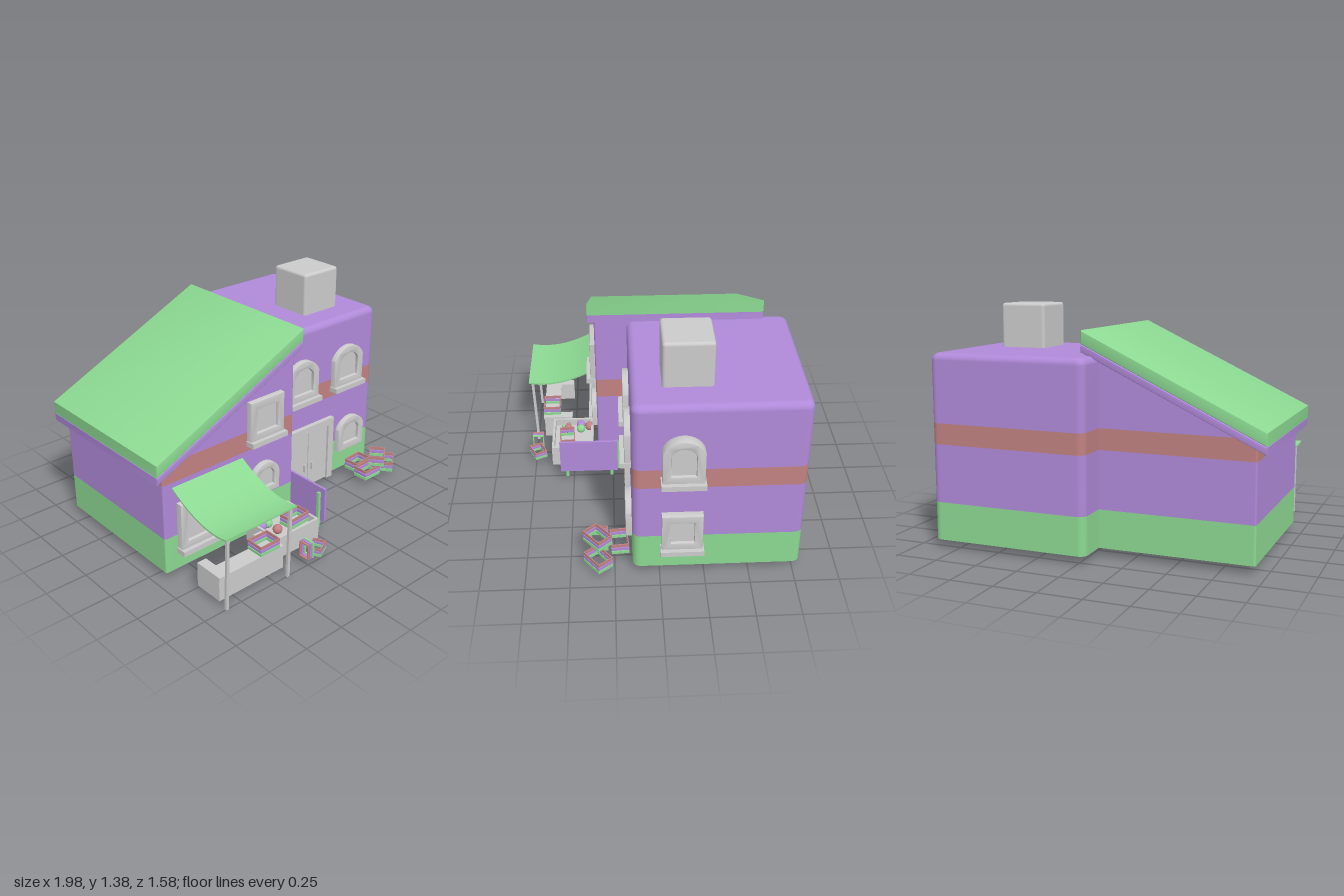
import * as THREE from 'three';
import { toCreasedNormals } from 'three/addons/utils/BufferGeometryUtils.js';
import { RoundedBoxGeometry } from 'three/addons/geometries/RoundedBoxGeometry.js';

const mat = (color) => new THREE.MeshStandardMaterial({ color, side: THREE.DoubleSide });
const GREY = mat(0xcccccc), GREEN = mat(0x8cd992), PURPLE = mat(0xb08ad9), RED = mat(0xc28282);

function add(parent, name, geo, material, x = 0, y = 0, z = 0) {
  const m = new THREE.Mesh(geo, material);
  m.name = name;
  m.position.set(x, y, z);
  parent.add(m);
  return m;
}

// Box given by its minimum and maximum corners
function box(parent, name, material, x0, x1, y0, y1, z0, z1) {
  return add(parent, name, new THREE.BoxGeometry(x1 - x0, y1 - y0, z1 - z0), material,
    (x0 + x1) / 2, (y0 + y1) / 2, (z0 + z1) / 2);
}

// Rounded rectangle in plan, optionally with an extra point where a wall crosses x = cut
function plan(x0, x1, z0, z1, r, cut) {
  const corners = [[x1 - r, z1 - r], [x0 + r, z1 - r], [x0 + r, z0 + r], [x1 - r, z0 + r]];
  const pts = [];
  corners.forEach(([cx, cz], q) => {
    for (let i = 0; i <= 5; i++) {
      const a = (q + i / 5) * Math.PI / 2;
      pts.push([cx + r * Math.cos(a), cz + r * Math.sin(a)]);
    }
  });
  if (cut === undefined) return pts;
  return pts.flatMap((p, i) => {
    const n = pts[(i + 1) % pts.length];
    return (p[0] - cut) * (n[0] - cut) < 0 ? [p, [cut, (p[1] + n[1]) / 2]] : [p];
  });
}

// Skin between rings of points [x, y, z], with an optional flat cap on the last ring
function loft(rings, cap) {
  const n = rings[0].length, idx = [], pos = rings.flat(2);
  for (let r = 0; r + 1 < rings.length; r++) {
    for (let i = 0; i < n; i++) {
      const j = (i + 1) % n, a = r * n + i, b = r * n + j;
      idx.push(a, a + n, b, b, a + n, b + n);
    }
  }
  if (cap) {
    const last = rings.length - 1, ring = rings[last];
    const mid = [0, 1, 2].map((k) => ring.reduce((s, p) => s + p[k], 0) / n);
    pos.push(...mid);
    for (let i = 0; i < n; i++) idx.push(rings.length * n, last * n + (i + 1) % n, last * n + i);
  }
  const g = new THREE.BufferGeometry();
  g.setAttribute('position', new THREE.Float32BufferAttribute(pos, 3));
  g.setIndex(idx);
  g.computeVertexNormals();
  return g;
}

// Outline of a window, square or with an arched head
function outline(Type, w, h, y0, arch) {
  const s = new Type(), a = w / 2, spring = y0 + h - arch;
  s.moveTo(-a, y0);
  s.lineTo(a, y0);
  s.lineTo(a, spring);
  if (arch) {
    const R = (a * a + arch * arch) / (2 * arch), t = Math.asin(Math.min(1, a / R));
    s.absarc(0, y0 + h - R, R, Math.PI / 2 - t, Math.PI / 2 + t, false);
  } else s.lineTo(-a, spring);
  s.closePath();
  return s;
}

// Window standing on y = 0 of its group and facing +z from the wall at z = 0
function windowUnit(parent, name, { w, h, arch = 0, out = 0.035, sill = true, border = 0.042 }) {
  const g = new THREE.Group(), back = 0.04;
  g.name = name;
  const frame = outline(THREE.Shape, w - 0.01, h - 0.01, 0.005, arch);
  frame.holes.push(outline(THREE.Path, w - 2 * border, h - 2 * border, border, arch * 0.7));
  const fg = new THREE.ExtrudeGeometry(frame, { depth: out + back - 0.01, curveSegments: 14,
    bevelThickness: 0.005, bevelSize: 0.005, bevelSegments: 2 });
  add(g, 'windowFrame', toCreasedNormals(fg, 0.6), GREY, 0, 0, 0.005 - back);
  const pane = new THREE.ExtrudeGeometry(outline(THREE.Shape, w - 0.03, h - 0.03, 0.015, arch * 0.9),
    { depth: back + out - 0.025, bevelEnabled: false });
  add(g, 'windowPane', pane, GREY, 0, 0, -back + 0.005);
  if (sill) box(g, 'windowSill', GREY, -w / 2 - 0.007, w / 2 + 0.007, -0.025, 0.006, -back, out + 0.025);
  parent.add(g);
  return g;
}

// Open slatted crate: a loop of four slats in each coloured row
function crate(parent, x, y, z, turn, w = 0.14, d = 0.1, h = 0.072) {
  const g = new THREE.Group(), t = 0.006, step = h / 3, s = step * 0.78;
  g.name = 'slattedCrate';
  [GREEN, PURPLE, RED].forEach((m, i) => {
    const y0 = i * step;
    for (const k of [-1, 1]) {
      add(g, 'longSlat', new THREE.BoxGeometry(w, s, t), m, 0, y0 + s / 2, k * (d - t) / 2);
      add(g, 'shortSlat', new THREE.BoxGeometry(t, s, d), m, k * (w - t) / 2, y0 + s / 2, 0);
    }
  });
  g.position.set(x, y, z);
  g.rotation.y = turn;
  parent.add(g);
  return g;
}

export function createModel() {
  const house = new THREE.Group();
  house.name = 'shopHouse';
  const bands = [['wallBase', GREEN, 0.05, 0.27], ['lowerWall', PURPLE, 0.27, 0.605],
    ['wallStripe', RED, 0.605, 0.725], ['upperWall', PURPLE, 0.725, 1.12]];

  // Main block, with a rounded top edge
  const mainRing = (y, inset) => plan(-0.05 + inset, 0.895 - inset, -0.79 + inset, 0.15 - inset, 0.045 - inset * 0.6)
    .map(([x, z]) => [x, y, z]);
  bands.forEach(([name, m, y0, y1], i) => {
    const rings = [mainRing(y0, 0)];
    if (i < 3) rings.push(mainRing(y1, 0));
    else for (let k = 0; k <= 5; k++) {
      const a = k / 5 * Math.PI / 2, r = 0.04;
      rings.push(mainRing(y1 - r + r * Math.sin(a), r * (1 - Math.cos(a))));
    }
    add(house, 'main ' + name, loft(rings, i === 3), m);
  });

  // Side wing, its walls cut by the slope of the roof
  const slope = 0.49 / 1.03, roofY = (x) => 0.66 + (x + 1) * slope;
  const wingPlan = plan(-0.94, 0.003, -0.6, 0.34, 0.012, -1 + 0.065 / slope);
  bands.forEach(([name, m, y0, y1]) => {
    const ring = (y) => wingPlan.map(([x, z]) => [x, Math.min(y, roofY(x)), z]);
    add(house, 'wing ' + name, loft([ring(y0), ring(y1 > 1 ? 2 : y1)]), m);
  });

  // Sloping roof in two layers
  for (const [name, m, lo, hi] of [['roofTop', GREEN, 0.695, 0.77], ['roofUnderside', PURPLE, 0.65, 0.695]]) {
    const b = 0.007, x0 = -1 + b, x1 = 0.035 - b, rise = (x1 - x0) * slope;
    const s = new THREE.Shape([[x0, lo + b], [x1, lo + b + rise], [x1, hi - b + rise], [x0, hi - b]]
      .map((p) => new THREE.Vector2(...p)));
    const geo = new THREE.ExtrudeGeometry(s, { depth: 1.02 - 2 * b, bevelThickness: b, bevelSize: b, bevelSegments: 3 });
    add(house, name, toCreasedNormals(geo, 0.6), m, 0, 0, -0.64 + b);
  }

  // Chimney
  add(house, 'chimney', new RoundedBoxGeometry(0.28, 0.32, 0.275, 3, 0.018), GREY, 0.57, 1.22, -0.155);

  // Windows on the main front, wing front and right-hand side
  const arched = { w: 0.25, h: 0.26, arch: 0.075 };
  for (const x of [0.245, 0.635]) windowUnit(house, 'upperArchedWindow', arched).position.set(x, 0.67, 0.15);
  windowUnit(house, 'lowerArchedWindow', { w: 0.228, h: 0.23, arch: 0.07, sill: false }).position.set(0.685, 0.193, 0.15);
  windowUnit(house, 'wingSquareWindow', { w: 0.25, h: 0.245 }).position.set(-0.225, 0.665, 0.34);
  windowUnit(house, 'wingArchedWindow', { w: 0.2, h: 0.2, arch: 0.07, sill: false, border: 0.035 }).position.set(-0.23, 0.3, 0.34);
  windowUnit(house, 'shopWindow', { w: 0.46, h: 0.29, out: 0.04 }).position.set(-0.625, 0.18, 0.34);
  [['sideArchedWindow', { ...arched, w: 0.225, h: 0.27, out: 0.062 }, 0.675],
    ['sideSquareWindow', { w: 0.225, h: 0.235, out: 0.045 }, 0.203]].forEach(([name, opt, y]) => {
    const g = windowUnit(house, name, opt);
    g.position.set(0.895, y, -0.122);
    g.rotation.y = Math.PI / 2;
  });

  // Double door
  const door = new THREE.Group();
  door.name = 'doubleDoor';
  house.add(door);
  box(door, 'doorLintel', GREY, 0.1, 0.52, 0.425, 0.47, 0.11, 0.18);
  for (const k of [-1, 1]) {
    const span = (a, b) => [0.31 + k * a, 0.31 + k * b].sort((p, q) => p - q);
    box(door, 'doorJamb', GREY, ...span(0.165, 0.21), 0.04, 0.43, 0.11, 0.18);
    box(door, 'doorLeaf', GREY, ...span(0.003, 0.165), 0.04, 0.425, 0.11, 0.165);
    box(door, 'doorHandle', GREY, ...span(0.025, 0.038), 0.155, 0.205, 0.16, 0.18);
  }

  // Sagging awning on two leaning posts
  const curve = new THREE.QuadraticBezierCurve(new THREE.Vector2(0.335, 0.578),
    new THREE.Vector2(0.58, 0.425), new THREE.Vector2(0.785, 0.47)).getPoints(20);
  const cloth = new THREE.Shape([...curve, ...curve.map((p) => new THREE.Vector2(p.x, p.y - 0.01)).reverse()]);
  const clothGeo = new THREE.ExtrudeGeometry(cloth, { depth: 0.495, bevelEnabled: false }).rotateY(-Math.PI / 2);
  add(house, 'awning', toCreasedNormals(clothGeo, 0.6), GREEN, -0.385, 0, 0);
  for (const x of [-0.85, -0.41]) {
    add(house, 'awningPost', new THREE.BoxGeometry(0.018, 0.46, 0.016), GREY, x, 0.232, 0.755).rotation.x = 0.03;
  }

  // Stall counter, open towards the wall
  const stall = new THREE.Group();
  stall.name = 'stallCounter';
  house.add(stall);
  box(stall, 'counterFront', GREY, -0.86, -0.4, 0.03, 0.17, 0.685, 0.7);
  box(stall, 'counterTop', GREY, -0.86, -0.4, 0.165, 0.18, 0.6, 0.705);
  for (const x of [-0.86, -0.415]) box(stall, 'counterSide', GREY, x, x + 0.015, 0.03, 0.17, 0.515, 0.69);
  for (const x of [-0.86, -0.46]) box(stall, 'counterReturn', GREY, x, x + 0.06, 0.165, 0.18, 0.515, 0.6);
  crate(house, -0.5, 0.18, 0.65, 0, 0.14, 0.11, 0.065);

  // Display bin with round fruit
  const bin = new THREE.Group();
  bin.name = 'displayBin';
  house.add(bin);
  for (const x of [-0.388, -0.076]) box(bin, 'binSide', GREY, x, x + 0.015, 0.045, 0.178, 0.375, 0.638);
  for (const z of [0.375, 0.623]) box(bin, 'binEnd', GREY, -0.388, -0.061, 0.045, 0.178, z, z + 0.015);
  box(bin, 'binFloor', GREY, -0.38, -0.07, 0.12, 0.13, 0.38, 0.63);
  for (const [x, z, r, m] of [[-0.32, 0.4, 0.03, RED], [-0.34, 0.457, 0.029, PURPLE], [-0.295, 0.457, 0.028, GREEN],
    [-0.295, 0.54, 0.029, RED], [-0.355, 0.54, 0.016, RED], [-0.343, 0.57, 0.014, GREEN], [-0.355, 0.4, 0.018, RED]]) {
    add(bin, 'fruit', new THREE.SphereGeometry(r, 16, 12), m, x, 0.13 + r, z);
  }
  crate(house, -0.163, 0.15, 0.54, 0.06, 0.145, 0.095, 0.07);

  // Board fence beside the bin
  box(house, 'fenceBoard', PURPLE, 0.043, 0.058, 0.08, 0.302, 0.22, 0.58);
  for (const z of [0.25, 0.53]) box(house, 'fenceLeg', GREEN, 0.026, 0.043, 0.03, 0.27, z, z + 0.018);

  // Loose crates on the ground, one tipped on its side
  crate(house, -0.168, 0.05, 0.735, 0.45, 0.1, 0.08, 0.055);
  crate(house, -0.225, 0.103, 0.735, 0, 0.1, 0.07, 0.055).rotation.z = Math.PI / 2;
  crate(house, 0.692, 0.05, 0.335, 0);
  crate(house, 0.865, 0.05, 0.342, 0.65);
  crate(house, 0.72, 0.05, 0.222, 0.08);
  crate(house, 0.77, 0.126, 0.345, 0.7);
  return house;
}
